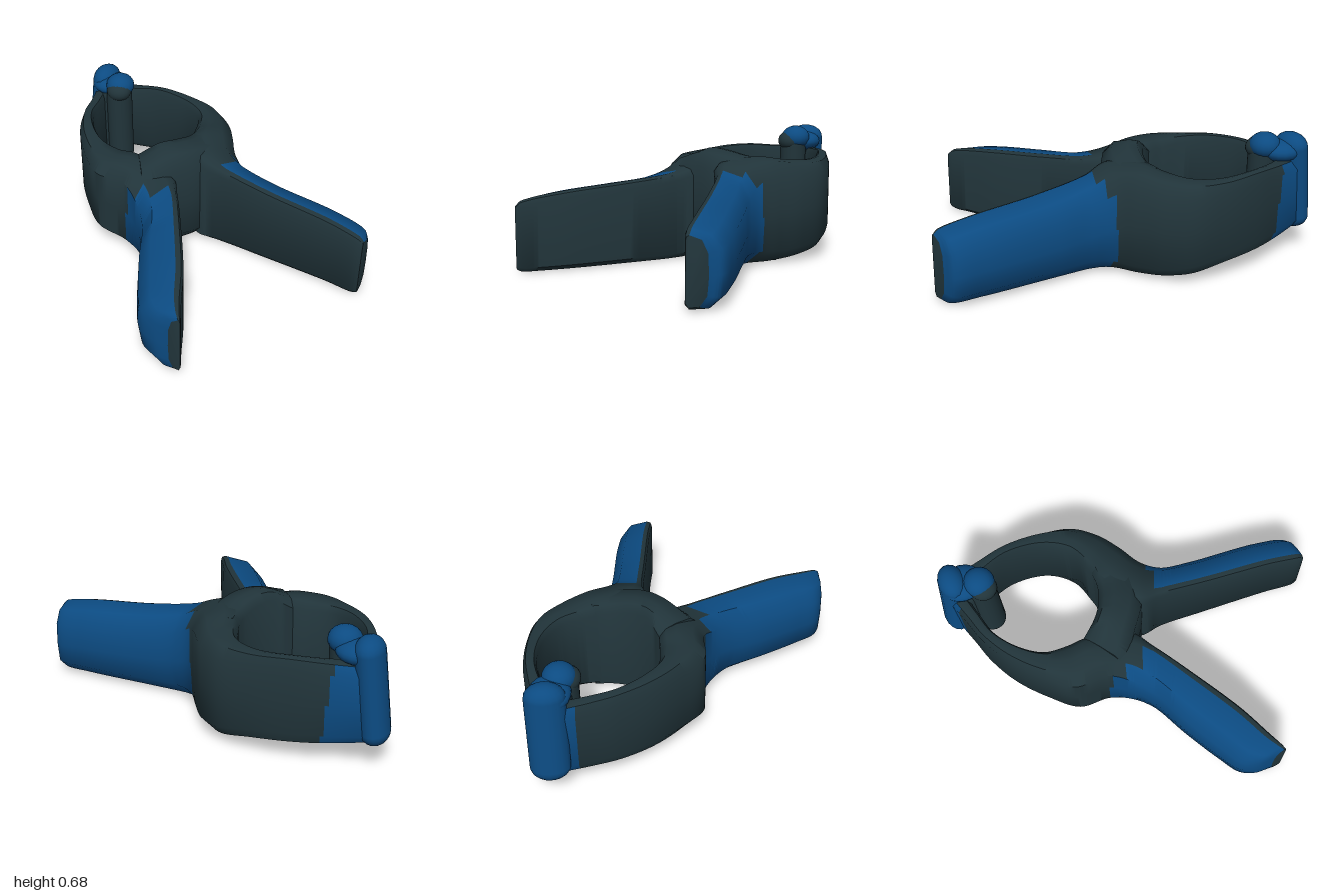
import * as THREE from 'three';
import { toCreasedNormals } from 'three/addons/utils/BufferGeometryUtils.js';

// Cross-sections as [inner-to-outer, bottom-to-top]: square ring wall and bulged grip
const WALL = [[0, .08], [0, .92], [.15, .99], [.4, 1], [.75, .98], [1, .87], [1, .5], [1, .12], [.75, .01], [.3, 0]];
const GRIP = [[0, .06], [0, .92], [.05, .98], [.17, 1], [.7, .94], [.96, .76], [1, .45], [.93, .17], [.6, .02], [.12, 0]];

// Loft through stations [innerX, innerZ, outerX, outerZ, bottom, top, bulge].
// isBlue(station, side) picks the material of each strip of faces.
function loft(stations, flip, isBlue) {
  const inner = new THREE.CatmullRomCurve3(stations.map(s => new THREE.Vector3(s[0], s[4], s[1])));
  const outer = new THREE.CatmullRomCurve3(stations.map(s => new THREE.Vector3(s[2], s[5], s[3])));
  const n = WALL.length, spans = stations.length - 1, sub = 10, steps = spans * sub;
  const pos = [], dark = [], blue = [];
  for (let i = 0; i <= steps; i++) {
    const f = i / sub, k = Math.min(Math.floor(f), spans - 1);
    const bulge = THREE.MathUtils.lerp(stations[k][6], stations[k + 1][6], f - k);
    const a = inner.getPoint(i / steps), b = outer.getPoint(i / steps);
    for (let j = 0; j < n; j++) {
      const w = THREE.MathUtils.lerp(WALL[j][0], GRIP[j][0], bulge);
      const h = THREE.MathUtils.lerp(WALL[j][1], GRIP[j][1], bulge);
      pos.push(a.x + (b.x - a.x) * w, a.y + (b.y - a.y) * h, a.z + (b.z - a.z) * w);
    }
  }
  const tri = (list, a, b, c) => flip ? list.push(a, c, b) : list.push(a, b, c);
  for (let i = 0; i < steps; i++) {
    for (let j = 0; j < n; j++) {
      const a = i * n + j, c = i * n + (j + 1) % n;
      const list = isBlue((i + .5) / sub, j) ? blue : dark;
      tri(list, a, a + n, c);
      tri(list, c, a + n, c + n);
    }
  }
  // End caps
  const last = steps * n;
  for (let j = 1; j < n - 1; j++) {
    tri(dark, 0, j, j + 1);
    tri(dark, last, last + j + 1, last + j);
  }
  const geo = new THREE.BufferGeometry();
  geo.setAttribute('position', new THREE.Float32BufferAttribute(pos, 3));
  geo.setIndex([...dark, ...blue]);
  geo.addGroup(0, dark.length, 0);
  geo.addGroup(dark.length, blue.length, 1);
  return toCreasedNormals(geo, 0.8);
}

export function createModel() {
  const group = new THREE.Group();
  const body = new THREE.MeshStandardMaterial({ color: 0x21343a });
  body.name = 'dark slate';
  const rubber = new THREE.MeshStandardMaterial({ color: 0x0c4b82 });
  rubber.name = 'blue rubber';

  const add = (name, geo, mat) => {
    const mesh = new THREE.Mesh(geo, mat);
    mesh.name = name;
    group.add(mesh);
    return mesh;
  };

  // Back jaw arm running round the ring into the side handle
  const backArm = [
    [-.82, -.66, -.94, -.77, .14, .54, 0], [-.70, -.72, -.72, -.805, .12, .55, 0],
    [-.55, -.76, -.53, -.83, .11, .56, 0], [-.35, -.735, -.32, -.825, .09, .55, 0],
    [-.22, -.64, -.15, -.785, .05, .55, 0], [-.17, -.50, -.03, -.68, .02, .56, 0],
    [-.13, -.35, .05, -.56, 0, .58, .2], [.00, -.20, .12, -.46, 0, .56, .5],
    [.14, -.21, .23, -.41, 0, .51, 1], [.40, -.19, .40, -.39, 0, .465, 1],
    [.80, -.155, .80, -.355, 0, .42, 1], [.97, -.135, .97, -.315, 0, .385, 1],
    [1.0, -.14, 1.0, -.25, .015, .36, 1],
  ];
  // Blue areas start or stop at a different station on each side of the cross-section
  const backGrip = { 3: 7.7, 4: 7.3, 5: 6.9, 6: 6.8, 7: 7 };
  const backPad = { 4: .9, 5: 1, 6: 1.15, 7: 1.25 };
  add('backArmAndHandle', loft(backArm, false, (s, j) => s > backGrip[j] || s < backPad[j]), [body, rubber]);

  // Front jaw arm running round the ring into the front handle
  const frontArm = [
    [-.84, -.64, -.94, -.66, .13, .55, 0], [-.81, -.50, -.89, -.50, .12, .55, 0],
    [-.775, -.36, -.85, -.36, .12, .56, 0], [-.68, -.23, -.765, -.19, .11, .56, 0],
    [-.57, -.155, -.63, -.03, .09, .55, 0], [-.45, -.14, -.49, .085, .06, .545, 0],
    [-.33, -.14, -.31, .095, .01, .55, .1], [-.10, -.09, -.20, .16, 0, .51, .5],
    [-.01, .03, -.11, .27, 0, .48, 1], [.13, .26, -.02, .47, 0, .455, 1],
    [.28, .53, .09, .68, 0, .43, 1], [.36, .71, .16, .785, 0, .405, 1],
    [.40, .795, .25, .825, .005, .385, 1], [.41, .82, .345, .828, .02, .36, 1],
  ];
  const frontGrip = { 3: 7.5, 4: 6.8, 5: 6.2, 6: 6, 7: 6 };
  add('frontArmAndHandle', loft(frontArm, true, (s, j) =>
    s > frontGrip[j] || (s < .6 && j >= 4 && j <= 7)), [body, rubber]);

  // Thick hinge joining both arms, with the raised crest
  const hinge = [
    [-.16, -.47, .02, -.56, 0, .57, 0], [-.165, -.38, .07, -.36, 0, .58, .2],
    [-.20, -.28, .02, -.20, 0, .605, .2], [-.26, -.20, -.07, -.08, 0, .61, .2],
    [-.35, -.14, -.20, .08, .01, .55, 0],
  ];
  add('hinge', loft(hinge, false, () => false), [body, body]);

  // Upright jaw columns that meet at the clamp's mouth
  const column = (name, mat, r, y0, y1, x, z, tilt, zScale) => {
    const geo = new THREE.CapsuleGeometry(r, y1 - y0 - 2 * r, 6, 18);
    const mesh = add(name, geo, mat);
    mesh.position.set(x, (y0 + y1) / 2, z);
    mesh.rotation.z = tilt;
    mesh.scale.z = zScale;
  };
  column('outerJawPad', rubber, .075, .12, .675, -.9, -.70, -.11, 1.35);
  column('innerJawPad', body, .078, .07, .64, -.745, -.62, 0, 1);
  column('jawWeb', body, .075, .1, .6, -.81, -.65, 0, 1);

  // Rounded caps and bridges at the top and bottom of the jaw
  const knob = (name, mat, x, y, z, sx, sy, sz) => {
    const mesh = add(name, new THREE.SphereGeometry(1, 18, 12), mat);
    mesh.position.set(x, y, z);
    mesh.scale.set(sx, sy, sz);
  };
  knob('innerJawCap', rubber, -.745, .61, -.635, .085, .07, .085);
  knob('innerJawFace', body, -.735, .59, -.60, .075, .06, .07);
  knob('jawBridge', rubber, -.83, .58, -.68, .12, .06, .105);
  knob('lowerJawBridge', body, -.81, .15, -.66, .11, .05, .07);

  return group;
}
